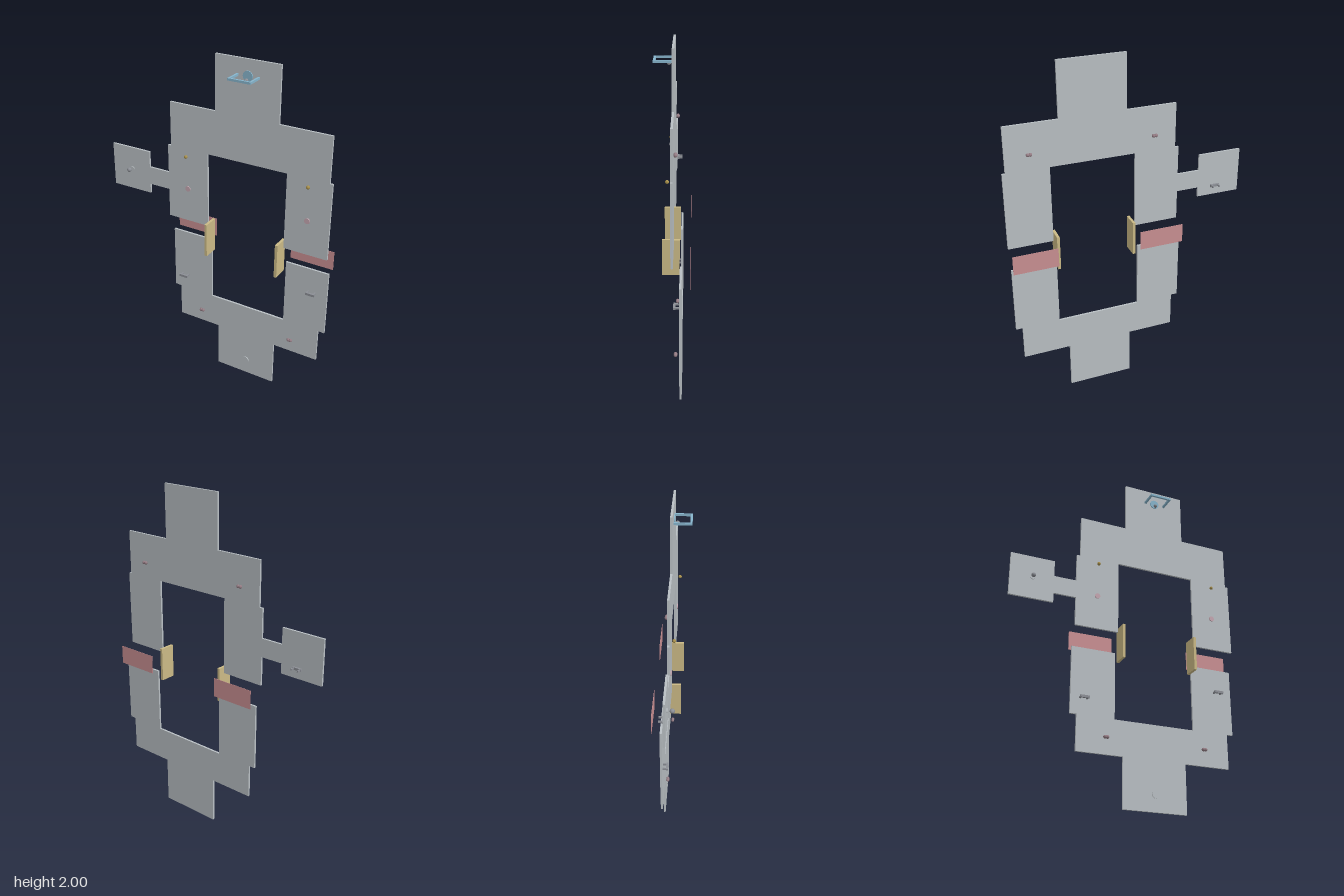
import * as THREE from 'three';

export function createModel() {
  const model = new THREE.Group();
  const mat = (name, color) => {
    const m = new THREE.MeshStandardMaterial({ color });
    m.name = name;
    return m;
  };
  const grey = mat('plate grey', 0xb9bfc3);
  const red = mat('panel red', 0xc98f92);
  const sand = mat('divider sand', 0xcab985);
  const blue = mat('handle blue', 0x86b4cc);
  const ochre = mat('knob ochre', 0xa8904c);
  const pink = mat('disc pink', 0xc4a6b0);
  const mauve = mat('stud mauve', 0x947c84);
  const knobGrey = mat('knob grey', 0x8c8f96);

  const add = (name, geometry, material, x = 0, y = 0, z = 0) => {
    const mesh = new THREE.Mesh(geometry, material);
    mesh.name = name;
    mesh.position.set(x, y, z);
    model.add(mesh);
    return mesh;
  };
  // box given by its limits on each axis
  const box = (name, m, x0, x1, y0, y1, z0, z1) =>
    add(name, new THREE.BoxGeometry(x1 - x0, y1 - y0, z1 - z0), m, (x0 + x1) / 2, (y0 + y1) / 2, (z0 + z1) / 2);
  const plate = (name, points, z) => {
    const shape = new THREE.Shape(points.map(([x, y]) => new THREE.Vector2(x, y)));
    add(name, new THREE.ExtrudeGeometry(shape, { depth: 0.012, bevelEnabled: false }), grey, 0, 0, z);
  };
  const disc = (name, m, r, x, y, z) => {
    add(name, new THREE.CylinderGeometry(r, r, 0.005, 32), m, x, y, z).rotation.x = Math.PI / 2;
  };
  const ball = (name, m, r, x, y, z) => add(name, new THREE.SphereGeometry(r, 20, 14), m, x, y, z);

  // upper plate: tower, shoulders, two legs and the side arm
  plate('upperPlate', [
    [0, 2], [0, 1.69], [-0.287, 1.69], [-0.287, 1.432], [-0.308, 1.432],
    [-0.308, 1.263], [-0.44, 1.263], [-0.44, 1.358], [-0.697, 1.358], [-0.697, 1.098],
    [-0.44, 1.098], [-0.44, 1.156], [-0.308, 1.156], [-0.308, 0.987], [-0.048, 0.987],
    [-0.048, 1.432], [0.434, 1.432], [0.434, 0.987], [0.691, 0.987], [0.691, 1.432],
    [0.674, 1.432], [0.674, 1.69], [0.378, 1.69], [0.378, 2],
  ], -0.012);

  // lower plate, set further back
  plate('lowerPlate', [
    [0, 0], [0.378, 0], [0.378, 0.281], [0.653, 0.281], [0.653, 0.485], [0.691, 0.485],
    [0.691, 0.875], [0.434, 0.875], [0.434, 0.483], [-0.048, 0.483], [-0.048, 0.875],
    [-0.308, 0.875], [-0.308, 0.485], [-0.27, 0.485], [-0.27, 0.281], [0, 0.281],
  ], -0.055);

  // panels behind the gaps and upright dividers beside the opening
  for (const [x0, x1] of [[-0.308, -0.048], [0.434, 0.691]])
    box('gapPanel', red, x0, x1, 0.875, 0.987, -0.101, -0.099);
  for (const [x0, x1] of [[-0.04, -0.025], [0.407, 0.423]])
    box('divider', sand, x0, x1, 0.818, 1.02, -0.042, 0.051);

  // U-shaped handle with its disc and knob
  box('handleBar', blue, 0.128, 0.261, 1.906, 1.918, 0.085, 0.097);
  for (const x of [0.128, 0.25])
    box('handleLeg', blue, x, x + 0.011, 1.906, 1.918, 0, 0.085);
  disc('handleDisc', blue, 0.028, 0.193, 1.912, 0.0025);
  ball('handleKnob', knobGrey, 0.011, 0.193, 1.893, 0.018);

  // knobs and discs on the front of the upper legs
  for (const x of [-0.178, 0.564]) {
    ball('legKnob', ochre, 0.01, x, 1.393, 0.018);
    disc('legDisc', pink, 0.016, x, 1.19, 0.0025);
  }
  disc('armDisc', grey, 0.013, -0.565, 1.227, 0.0025);
  ball('armKnob', knobGrey, 0.013, -0.568, 1.227, 0.028);
  disc('lowerDisc', grey, 0.022, 0.193, 0.095, -0.0405);

  // paired studs: lower ones on the front, upper ones on the back
  for (const [xs, y] of [[[-0.105, 0.49], 0.372], [[-0.159, 0.544], 1.523]])
    for (const x of xs)
      for (const dx of [-0.007, 0.007])
        ball('stud', mauve, 0.01, x + dx, y, -0.022);

  // small brackets: a flat bar on two short legs
  for (const [x, y] of [[-0.233, 0.58], [0.6, 0.73], [-0.545, 1.155]]) {
    box('bracketBar', knobGrey, x - 0.027, x + 0.027, y - 0.007, y + 0.007, -0.024, -0.012);
    for (const s of [-1, 1])
      box('bracketLeg', knobGrey, x + s * 0.02 - 0.004, x + s * 0.02 + 0.004, y - 0.005, y + 0.005, -0.043, -0.024);
  }
  return model;
}
